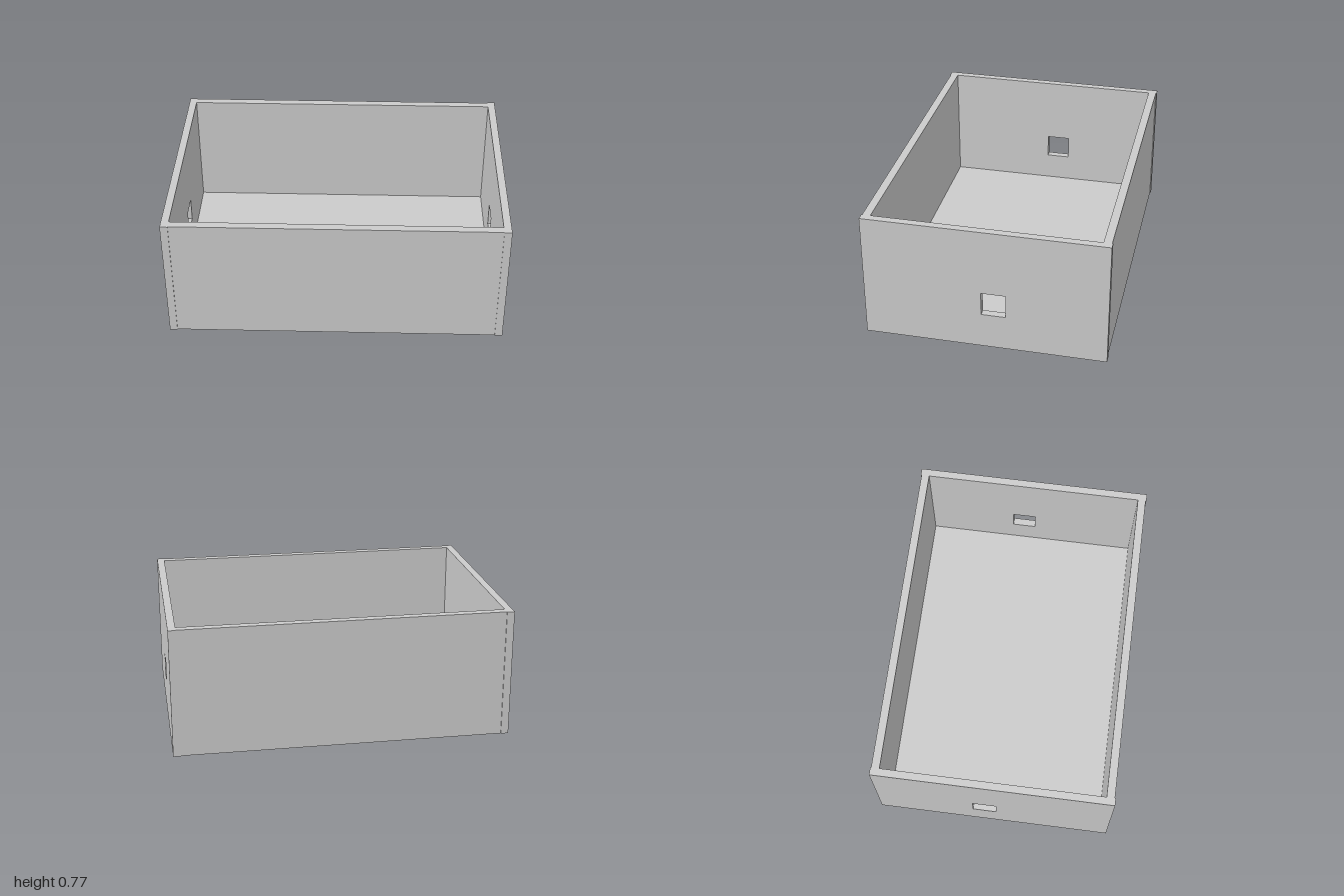
import * as THREE from 'three';

const material = new THREE.MeshStandardMaterial({ color: 0xcccccc, flatShading: true });

const HEIGHT = 0.77;
const HALF_X = 1, INNER_X = 0.955;
const HALF_Z = 0.713, PANEL_Z = 0.708, INNER_Z = 0.66;
const FLOOR = 0.05;

function part(name, geometry, x, y, z) {
  const mesh = new THREE.Mesh(geometry, material);
  mesh.name = name;
  mesh.position.set(x, y, z);
  return mesh;
}

// Side wall drawn in (-z, y), with a square window, extruded along +x
function sideWallGeometry() {
  const shape = new THREE.Shape();
  shape.moveTo(-HALF_Z, 0).lineTo(HALF_Z, 0).lineTo(HALF_Z, HEIGHT).lineTo(-HALF_Z, HEIGHT).closePath();
  const hole = new THREE.Path();
  hole.moveTo(-0.02, 0.22).lineTo(-0.02, 0.365).lineTo(0.123, 0.365).lineTo(0.123, 0.22).closePath();
  shape.holes.push(hole);
  return new THREE.ExtrudeGeometry(shape, { depth: HALF_X - INNER_X, bevelEnabled: false })
    .rotateY(Math.PI / 2);
}

export function createModel() {
  const box = new THREE.Group();
  box.name = 'openBox';

  // Floor panel between the four walls
  box.add(part('floor', new THREE.BoxGeometry(2 * INNER_X, FLOOR, 2 * INNER_Z), 0, FLOOR / 2, 0));

  // Long walls, set a hair inside the ends of the side walls
  const thickness = PANEL_Z - INNER_Z;
  for (const [name, side] of [['frontWall', 1], ['backWall', -1]]) {
    box.add(part(name, new THREE.BoxGeometry(2 * INNER_X, HEIGHT, thickness),
      0, HEIGHT / 2, side * (INNER_Z + thickness / 2)));
  }

  // Side walls with matching windows
  box.add(part('leftWall', sideWallGeometry(), INNER_X, 0, 0));
  box.add(part('rightWall', sideWallGeometry(), -HALF_X, 0, 0));

  return box;
}
